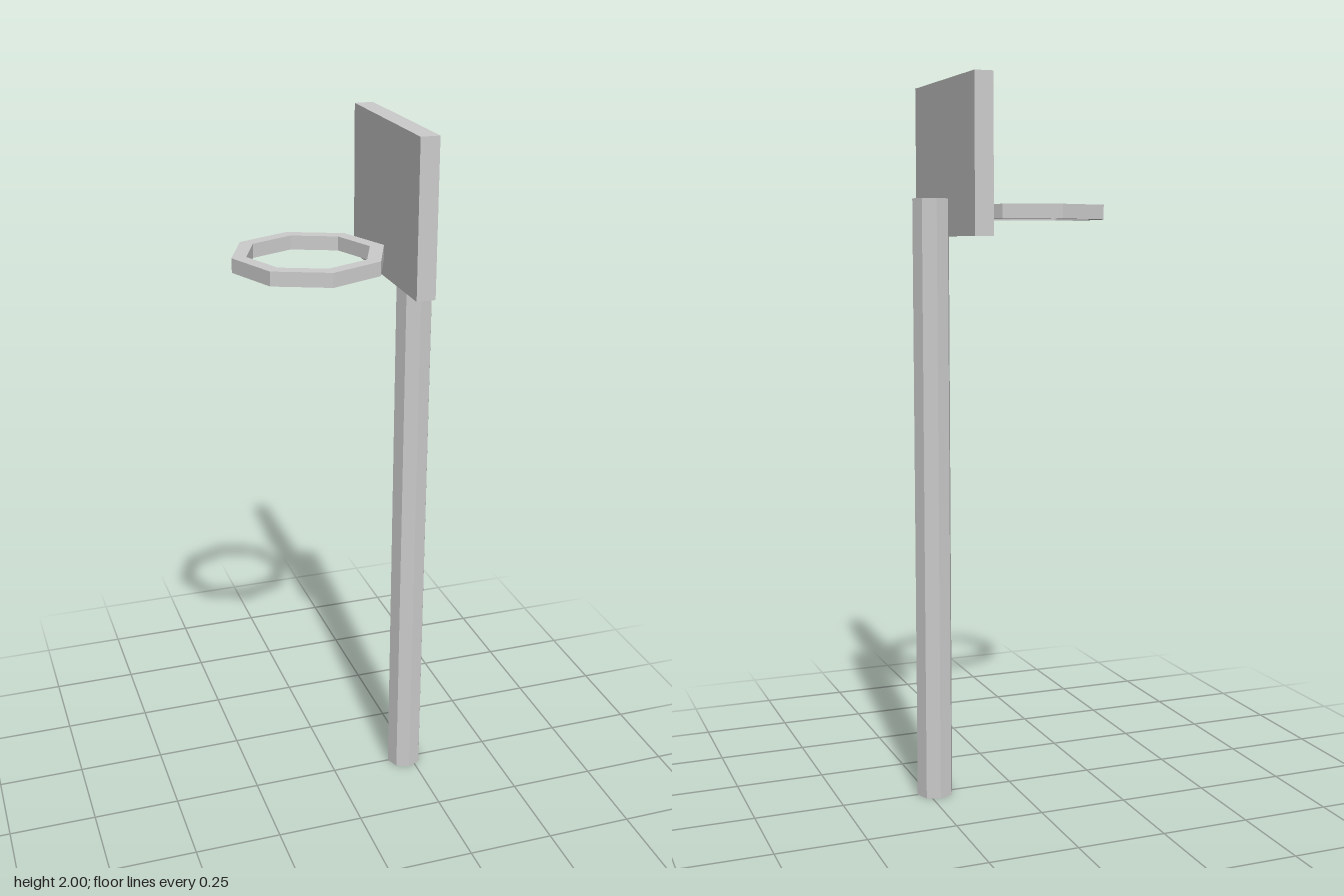
import * as THREE from 'three';

const material = new THREE.MeshStandardMaterial({ color: 0xcccccc, flatShading: true });

function addPart(group, name, geometry, x, y, z) {
  const mesh = new THREE.Mesh(geometry, material);
  mesh.name = name;
  mesh.position.set(x, y, z);
  group.add(mesh);
}

// Corners of a regular octagon with points on the axes
function octagon(radius) {
  return Array.from({ length: 8 }, (_, i) => {
    const a = (i * Math.PI) / 4;
    return new THREE.Vector2(radius * Math.cos(a), radius * Math.sin(a));
  });
}

export function createModel() {
  const model = new THREE.Group();
  model.name = 'basketballHoop';

  // Eight-sided pole, sunk slightly into the backboard
  const poleHeight = 1.684;
  addPart(model, 'pole', new THREE.CylinderGeometry(0.052, 0.052, poleHeight, 8), 0.229, poleHeight / 2, 0);

  // Backboard facing -x
  const bottom = 1.583, top = 2;
  addPart(model, 'backboard', new THREE.BoxGeometry(0.052, top - bottom, 0.495), 0.165, (top + bottom) / 2, 0);

  // Flat octagonal rim, touching the board at one corner
  const shape = new THREE.Shape(octagon(0.21));
  shape.holes.push(new THREE.Path(octagon(0.17)));
  const rim = new THREE.ExtrudeGeometry(shape, { depth: 0.039, bevelEnabled: false });
  rim.rotateX(-Math.PI / 2);
  addPart(model, 'rim', rim, -0.071, 1.629, 0);

  return model;
}
